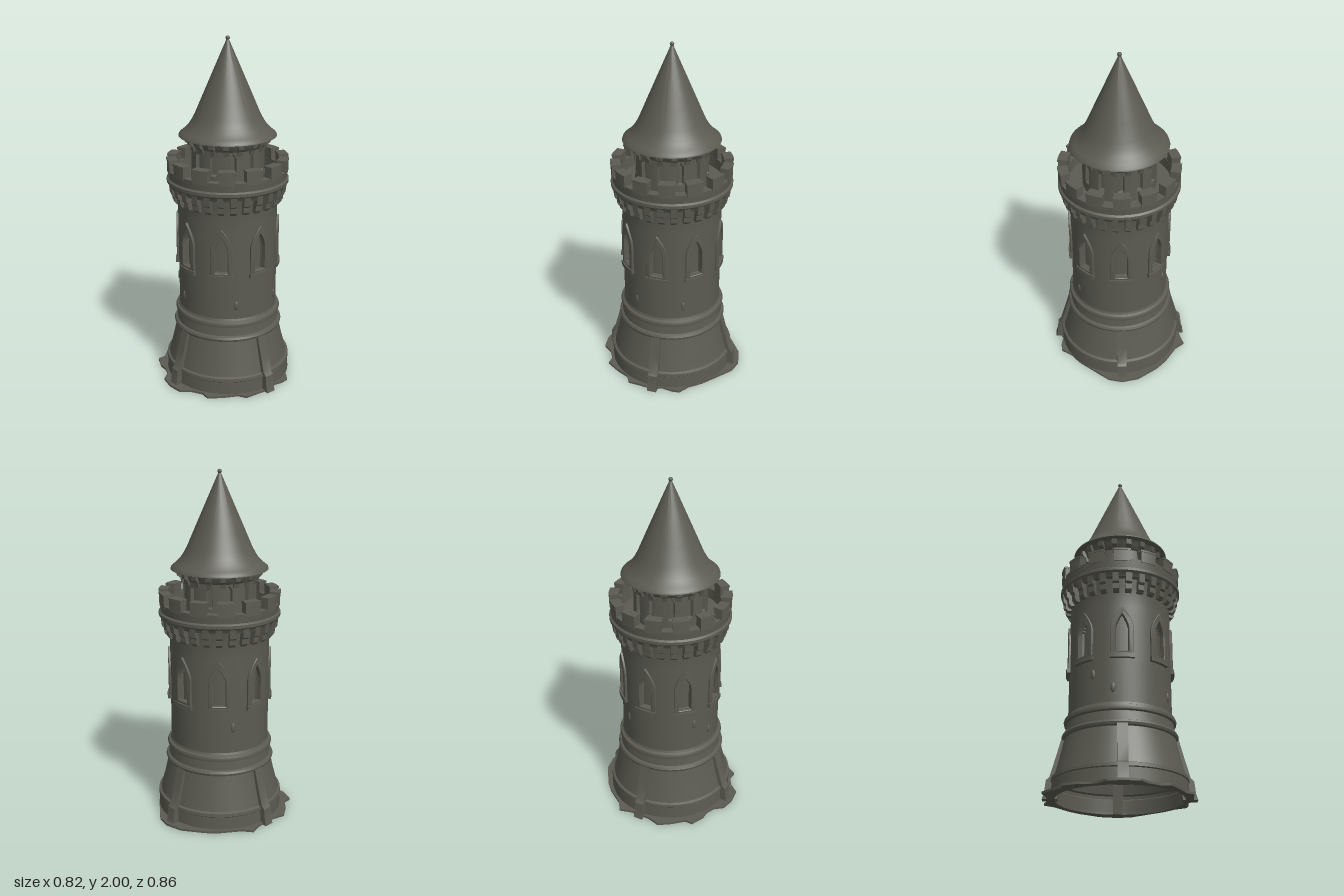
import * as THREE from 'three';
import { toCreasedNormals, mergeVertices } from 'three/addons/utils/BufferGeometryUtils.js';

const stone = new THREE.MeshStandardMaterial({ color: 0x5b5b52, side: THREE.DoubleSide });
stone.name = 'dark stone';

const WALL_R = 0.285;

function add(parent, name, geo, crease = 0.6) {
  const mesh = new THREE.Mesh(crease ? toCreasedNormals(geo, crease) : geo, stone);
  mesh.name = name;
  parent.add(mesh);
  return mesh;
}

// Revolve [radius, height] pairs about the y axis
function lathe(parent, name, pts, sides = 96) {
  return add(parent, name, new THREE.LatheGeometry(pts.map(p => new THREE.Vector2(...p)), sides));
}

// Wrap a flat piece (x along the wall, z outwards) around a cylinder
function bend(geo, R) {
  const p = geo.attributes.position;
  for (let i = 0; i < p.count; i++) {
    const a = p.getX(i) / R, r = R + p.getZ(i);
    p.setXYZ(i, Math.sin(a) * r, p.getY(i), Math.cos(a) * r);
  }
  return geo;
}

// Repeat one piece evenly around the tower
function ring(parent, name, geo, n, offset = 0) {
  const group = new THREE.Group();
  group.name = name + 's';
  const shared = toCreasedNormals(geo, 0.6);
  for (let i = 0; i < n; i++) {
    add(group, name, shared, 0).rotation.y = ((i + offset) / n) * Math.PI * 2;
  }
  parent.add(group);
}

// Half width of a pointed arch at height y
function archHalf(y, w, y0, spring, top) {
  if (y < y0 || y > top) return 0;
  if (y <= spring) return w;
  const t = (y - spring) / (top - spring);
  return w * (1 - Math.pow(t, 1.7));
}

function archPoints(w, y0, spring, top) {
  const right = [new THREE.Vector2(w, y0)];
  for (let i = 0; i <= 8; i++) {
    const y = spring + (top - spring) * i / 8;
    right.push(new THREE.Vector2(archHalf(y, w, y0, spring, top), y));
  }
  const left = right.slice(0, -1).reverse().map(p => new THREE.Vector2(-p.x, p.y));
  return right.concat(left);
}

// Cylinder wall pushed inwards inside each arched opening
function nichedWall(parent, name, R, yA, yB, rows, n, depth, arch) {
  const geo = new THREE.CylinderGeometry(R, R, yB - yA, 288, rows, true);
  geo.deleteAttribute('uv');
  geo.deleteAttribute('normal');
  const g = mergeVertices(geo.translate(0, (yA + yB) / 2, 0));
  const p = g.attributes.position, step = Math.PI * 2 / n;
  for (let i = 0; i < p.count; i++) {
    const a = Math.atan2(p.getX(i), p.getZ(i)), y = p.getY(i);
    const off = Math.abs(a - Math.round(a / step) * step) * R;
    if (off < archHalf(y, ...arch)) {
      const k = (R - depth) / R;
      p.setX(i, p.getX(i) * k);
      p.setZ(i, p.getZ(i) * k);
    }
  }
  add(parent, name, g, 0.5);
}

// Corbel or bracket cut from a side profile of [out, y] pairs
function bracket(profile, width, R) {
  const s = new THREE.Shape(profile.map(p => new THREE.Vector2(...p)));
  const g = new THREE.ExtrudeGeometry(s, { depth: width, bevelEnabled: false });
  return g.translate(0, 0, -width / 2).rotateY(-Math.PI / 2).translate(0, 0, R);
}

export function createModel() {
  const tower = new THREE.Group();
  tower.name = 'tower';

  // Ragged ground skirt, outline as x, z
  const edge = [[.39, 0], [.38, .08], [.375, .155], [.33, .18], [.29, .26], [.24, .335], [.19, .33],
    [.13, .365], [.085, .42], [0, .43], [-.08, .415], [-.12, .365], [-.17, .345], [-.22, .345],
    [-.3, .31], [-.3, .265], [-.36, .2], [-.405, .135], [-.385, .06], [-.385, -.06], [-.405, -.13],
    [-.35, -.17], [-.28, -.27], [-.22, -.33], [-.1, -.41], [0, -.43], [.08, -.41], [.13, -.37],
    [.25, -.27], [.31, -.2], [.37, -.16], [.375, -.115], [.365, -.05]];
  const skirt = new THREE.Shape(edge.map(p => new THREE.Vector2(...p)));
  skirt.holes.push(new THREE.Path().absarc(0, 0, 0.345, 0, Math.PI * 2, true));
  add(tower, 'groundSkirt', new THREE.ExtrudeGeometry(skirt, { depth: 0.012, bevelEnabled: false, curveSegments: 32 })
    .rotateX(Math.PI / 2).translate(0, 0.012, 0));

  // Sloping base with its three raised courses, open below
  lathe(tower, 'base', [[.367, 0], [.363, .085], [.368, .09], [.366, .108], [.352, .114], [.325, .22],
    [.304, .315], [.314, .32], [.318, .333], [.312, .345], [.3, .35], [.294, .40], [.305, .405],
    [.308, .42], [.303, .432], [.29, .438], [WALL_R, .45]]);

  // Four buttresses
  ring(tower, 'buttress', bracket([[.33, 0], [.41, 0], [.40, .03], [.392, .1], [.375, .115],
    [.345, .22], [.317, .325], [.28, .325]], 0.055, 0), 4);

  // Shaft and eight pointed window niches
  lathe(tower, 'lowerWall', [[WALL_R, .45], [WALL_R, .68]]);
  nichedWall(tower, 'windowWall', WALL_R, 0.68, 1.0, 40, 8, 0.03, [0.042, 0.725, 0.86, 0.965]);
  lathe(tower, 'upperWall', [[WALL_R, 1.0], [WALL_R, 1.08], [.292, 1.12], [.3, 1.18]]);

  const frame = new THREE.Shape(archPoints(0.058, 0.715, 0.87, 0.99));
  frame.holes.push(new THREE.Path(archPoints(0.038, 0.73, 0.86, 0.955)));
  const frameGeo = new THREE.ExtrudeGeometry(frame,
    { depth: 0.022, bevelEnabled: true, bevelSize: 0.003, bevelThickness: 0.003, bevelSegments: 1 });
  ring(tower, 'windowFrame', bend(frameGeo.translate(0, 0, -0.012), WALL_R), 8);
  ring(tower, 'windowSill', bend(new THREE.BoxGeometry(0.13, 0.025, 0.035, 6).translate(0, 0.707, 0.002), WALL_R), 8);

  // Weathered chips on the shaft: angle, height
  [[-0.57, 0.615], [-0.17, 0.53], [1.08, 0.53], [2.1, 0.53], [4.2, 0.6]].forEach(([a, y]) => {
    const chip = add(tower, 'stoneChip', new THREE.SphereGeometry(1, 10, 8).scale(0.013, 0.028, 0.008), 0);
    chip.position.set(Math.sin(a) * WALL_R, y, Math.cos(a) * WALL_R);
    chip.rotation.y = a;
  });

  // Corbels carrying the parapet
  ring(tower, 'corbel', bracket([[-.02, 1.085], [.02, 1.08], [.032, 1.095], [.034, 1.125],
    [.046, 1.135], [.052, 1.19], [-.02, 1.19]], 0.034, WALL_R), 28, 0.5);

  // Parapet, string course and walkway
  lathe(tower, 'parapet', [[.29, 1.165], [.328, 1.165], [.336, 1.185], [.346, 1.195], [.346, 1.212],
    [.335, 1.22], [.34, 1.27], [.292, 1.27], [.288, 1.21], [.2, 1.21]]);
  ring(tower, 'merlon', bend(new THREE.BoxGeometry(0.085, 0.075, 0.05, 4, 1, 1).translate(0, 1.294, 0), 0.318), 14);
  ring(tower, 'merlonCap', bend(new THREE.BoxGeometry(0.09, 0.012, 0.056, 4, 1, 1).translate(0, 1.328, 0), 0.318), 14);

  // Small turret with slit windows and brackets
  nichedWall(tower, 'turretWall', 0.208, 1.2, 1.42, 30, 12, 0.02, [0.018, 1.27, 1.36, 1.395]);
  lathe(tower, 'turretCollar', [[.208, 1.405], [.214, 1.41], [.222, 1.435], [.235, 1.458]]);
  ring(tower, 'turretBracket', bracket([[-.01, 1.385], [.012, 1.385], [.018, 1.41], [.037, 1.425],
    [.042, 1.46], [-.01, 1.46]], 0.03, 0.205), 18, 0.5);

  // Flared conical roof with a ball on the tip
  lathe(tower, 'roof', [[.2, 1.462], [.262, 1.452], [.275, 1.456], [.272, 1.465], [.25, 1.482],
    [.222, 1.51], [.202, 1.54], [.183, 1.575], [.14, 1.675], [.09, 1.79], [.04, 1.905], [.007, 1.98]]);
  add(tower, 'roofBall', new THREE.SphereGeometry(0.012, 16, 12), 0).position.y = 1.988;

  return tower;
}
